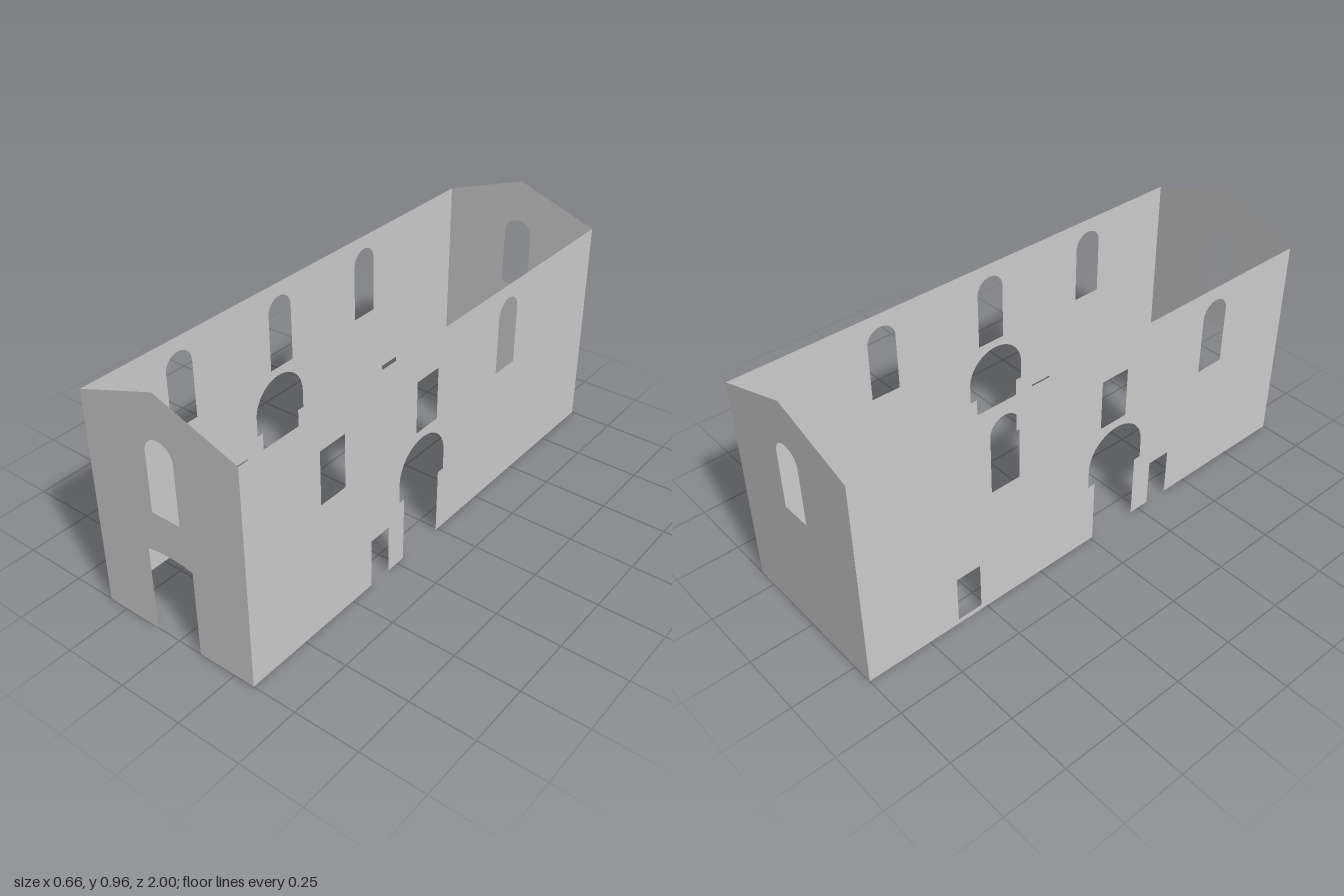
import * as THREE from 'three';

const HALF_W = 0.33, HALF_L = 1, EAVES = 0.85, RIDGE = 0.965;

const material = new THREE.MeshStandardMaterial({ color: 0xcccccc, side: THREE.DoubleSide, flatShading: true });

// Round-headed window hole
function archedWindow(center, sill = 0.505, top = 0.795, r = 0.06) {
  const hole = new THREE.Path();
  hole.moveTo(center - r, sill);
  hole.lineTo(center + r, sill);
  hole.lineTo(center + r, top - r);
  hole.absarc(center, top - r, r, 0, Math.PI, false);
  hole.lineTo(center - r, sill);
  return hole;
}

function rectHole(a, b, low, high) {
  return new THREE.Path([[a, low], [b, low], [b, high], [a, high]].map(p => new THREE.Vector2(...p)));
}

function wall(name, shape) {
  const mesh = new THREE.Mesh(new THREE.ShapeGeometry(shape, 20), material);
  mesh.name = name;
  return mesh;
}

// Gable wall, optionally with a doorway under a shallow curved head
function gableWall(name, z, hasDoor) {
  const s = new THREE.Shape();
  s.moveTo(-HALF_W, 0);
  if (hasDoor) {
    s.lineTo(-0.098, 0);
    s.lineTo(-0.098, 0.342);
    s.quadraticCurveTo(0, 0.364, 0.098, 0.342);
    s.lineTo(0.098, 0);
  }
  s.lineTo(HALF_W, 0);
  s.lineTo(HALF_W, EAVES);
  s.lineTo(0, RIDGE);
  s.lineTo(-HALF_W, EAVES);
  s.closePath();
  s.holes.push(archedWindow(0));
  const mesh = wall(name, s);
  mesh.position.z = z;
  return mesh;
}

// Long wall drawn along z: large arch with stepped jambs, small door, three windows
function sideWall(name, x, extraHoles = []) {
  const s = new THREE.Shape();
  s.moveTo(-HALF_L, 0);
  s.lineTo(0.01, 0);
  s.lineTo(0.01, 0.263);
  s.lineTo(-0.021, 0.263);
  s.lineTo(-0.021, 0.34);
  s.absarc(0.11, 0.34, 0.131, Math.PI, 0, true);
  s.lineTo(0.241, 0.263);
  s.lineTo(0.213, 0.263);
  s.lineTo(0.213, 0);
  s.lineTo(0.3, 0);
  s.lineTo(0.3, 0.195);
  s.lineTo(0.397, 0.195);
  s.lineTo(0.397, 0);
  s.lineTo(HALF_L, 0);
  s.lineTo(HALF_L, EAVES);
  s.lineTo(-HALF_L, EAVES);
  s.closePath();
  for (const c of [-0.405, 0.09, 0.593]) s.holes.push(archedWindow(c));
  s.holes.push(...extraHoles);
  const mesh = wall(name, s);
  mesh.geometry.rotateY(-Math.PI / 2);
  mesh.position.x = x;
  return mesh;
}

export function createModel() {
  const group = new THREE.Group();
  group.name = 'rooflessHall';
  group.add(
    gableWall('frontWall', HALF_L, true),
    gableWall('backWall', -HALF_L, false),
    sideWall('leftWall', HALF_W),
    // Low opening near the back of one side only
    sideWall('rightWall', -HALF_W, [rectHole(-0.625, -0.525, 0.02, 0.21)])
  );
  return group;
}
